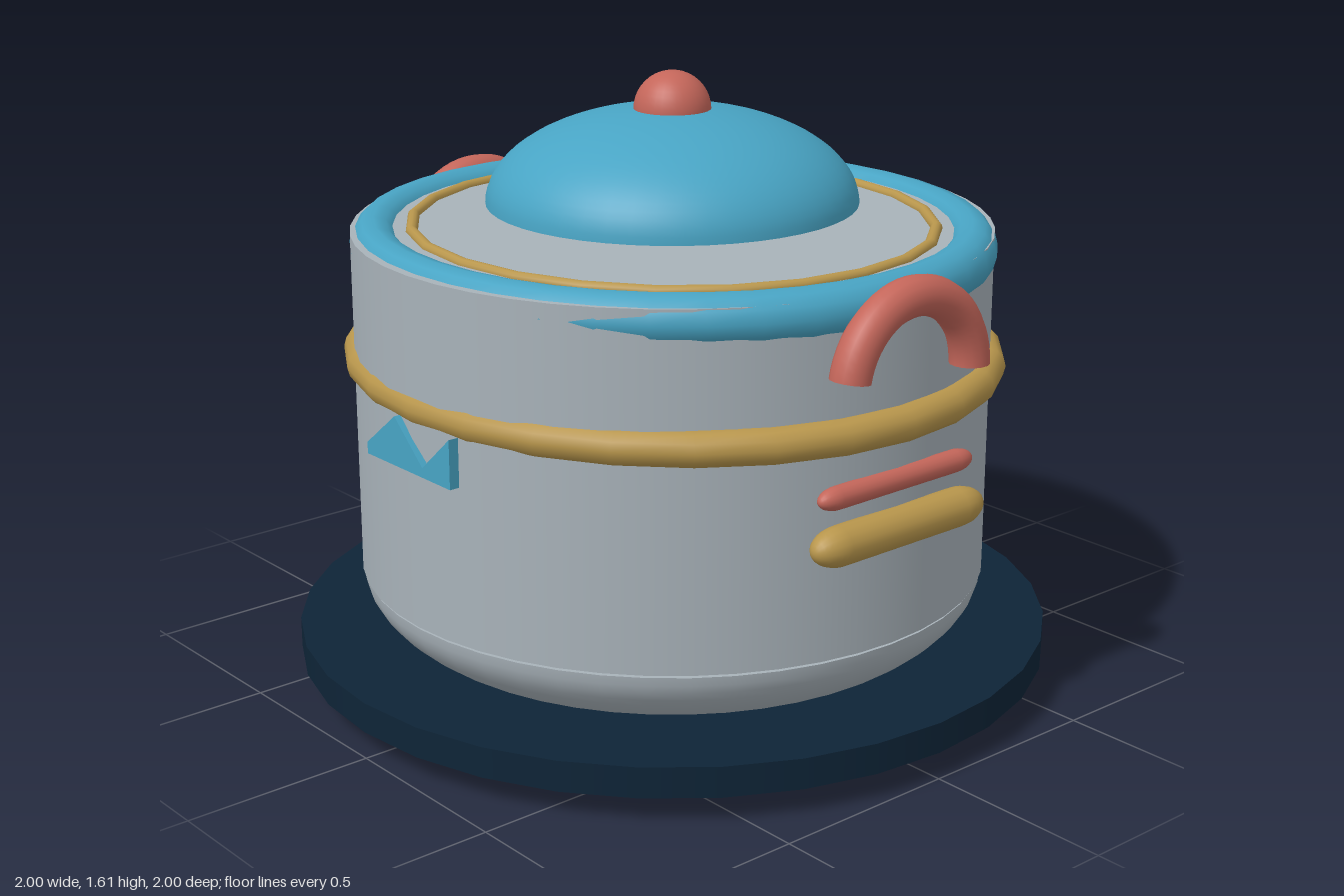
import * as THREE from 'three';

const mat = (name, color, side = THREE.FrontSide) => {
  const m = new THREE.MeshStandardMaterial({ color, side });
  m.name = name;
  return m;
};

export function createModel() {
  const grey = mat('potGrey', 0xa8b2b9);
  const teal = mat('enamelTeal', 0x48a4c4, THREE.DoubleSide);
  const salmon = mat('handleSalmon', 0xc4665a, THREE.DoubleSide);
  const gold = mat('trimGold', 0xb8964c);
  const navy = mat('baseNavy', 0x0e2437);

  const model = new THREE.Group();
  model.name = 'cookingPot';

  const add = (name, geometry, material, x = 0, y = 0, z = 0) => {
    const mesh = new THREE.Mesh(geometry, material);
    mesh.name = name;
    mesh.position.set(x, y, z);
    model.add(mesh);
    return mesh;
  };

  // Half ellipsoid profile turned round the y axis, closed by a flat face
  const dome = (radius, height, up) => {
    const points = [];
    for (let i = 0; i <= 20; i++) {
      const a = (i / 20) * Math.PI / 2;
      points.push(up
        ? new THREE.Vector2(radius * Math.cos(a), height * Math.sin(a))
        : new THREE.Vector2(radius * Math.sin(a), -height * Math.cos(a)));
    }
    return new THREE.LatheGeometry(points, 48);
  };

  // Horizontal ring, slightly oval: rx and rz are the centre line radii
  const ring = (rx, rz, tube, segments) =>
    new THREE.TorusGeometry(rx, tube, 12, segments).rotateX(Math.PI / 2).scale(1, 1, rz / rx);

  // Base plate and body
  add('basePlate', new THREE.CylinderGeometry(1, 1, 0.08, 32), navy, 0, 0.11);
  add('bowlBottom', dome(0.825, 0.297, false), grey, 0, 0.297);
  add('bowlTop', new THREE.CircleGeometry(0.825, 48).rotateX(-Math.PI / 2), grey, 0, 0.297);
  add('potBody', new THREE.CylinderGeometry(0.83, 0.83, 0.905, 48), grey, 0, 0.7575);

  // Rings
  add('rim', ring(0.787, 0.76, 0.065, 40), teal, 0, 1.17);
  add('lidSeatRing', ring(0.695, 0.665, 0.016, 24), gold, 0, 1.21);
  add('bodyBand', ring(0.845, 0.802, 0.045, 28), gold, 0, 0.875);

  // Lid
  add('lid', dome(0.482, 0.245, true), teal, 0, 1.268);
  add('lidUnderside', new THREE.CircleGeometry(0.482, 48).rotateX(Math.PI / 2), teal, 0, 1.268);
  add('lidKnob', new THREE.SphereGeometry(0.1, 32, 20), salmon, 0, 1.505);

  // Handles and side bars
  const handle = new THREE.TorusGeometry(0.203, 0.05, 14, 28, 2.97);
  const bar = (radius, length, stretch) =>
    new THREE.CapsuleGeometry(radius, length, 8, 16).rotateX(Math.PI / 2).scale(1, 1, stretch);
  const upperBar = bar(0.029, 0.2, 2);
  const lowerBar = bar(0.05, 0.235, 1.7);
  for (const [side, s] of [['left', 1], ['right', -1]]) {
    add(side + 'Handle', handle, salmon, s * 0.863, 0.99).rotation.y = s * Math.PI / 2;
    add(side + 'UpperBar', upperBar, salmon, s * 0.828, 0.73);
    add(side + 'LowerBar', lowerBar, gold, s * 0.84, 0.613);
  }

  // Zigzag plate on the front
  const zigzag = new THREE.Shape([
    [-0.176, 0.72], [0.174, 0.72], [0.174, 0.846], [0.06, 0.745], [-0.053, 0.848], [-0.176, 0.75],
  ].map(([x, y]) => new THREE.Vector2(x, y)));
  add('frontZigzag', new THREE.ExtrudeGeometry(zigzag, { depth: 0.027, bevelEnabled: false }),
    teal, 0, 0, 0.818);

  return model;
}
